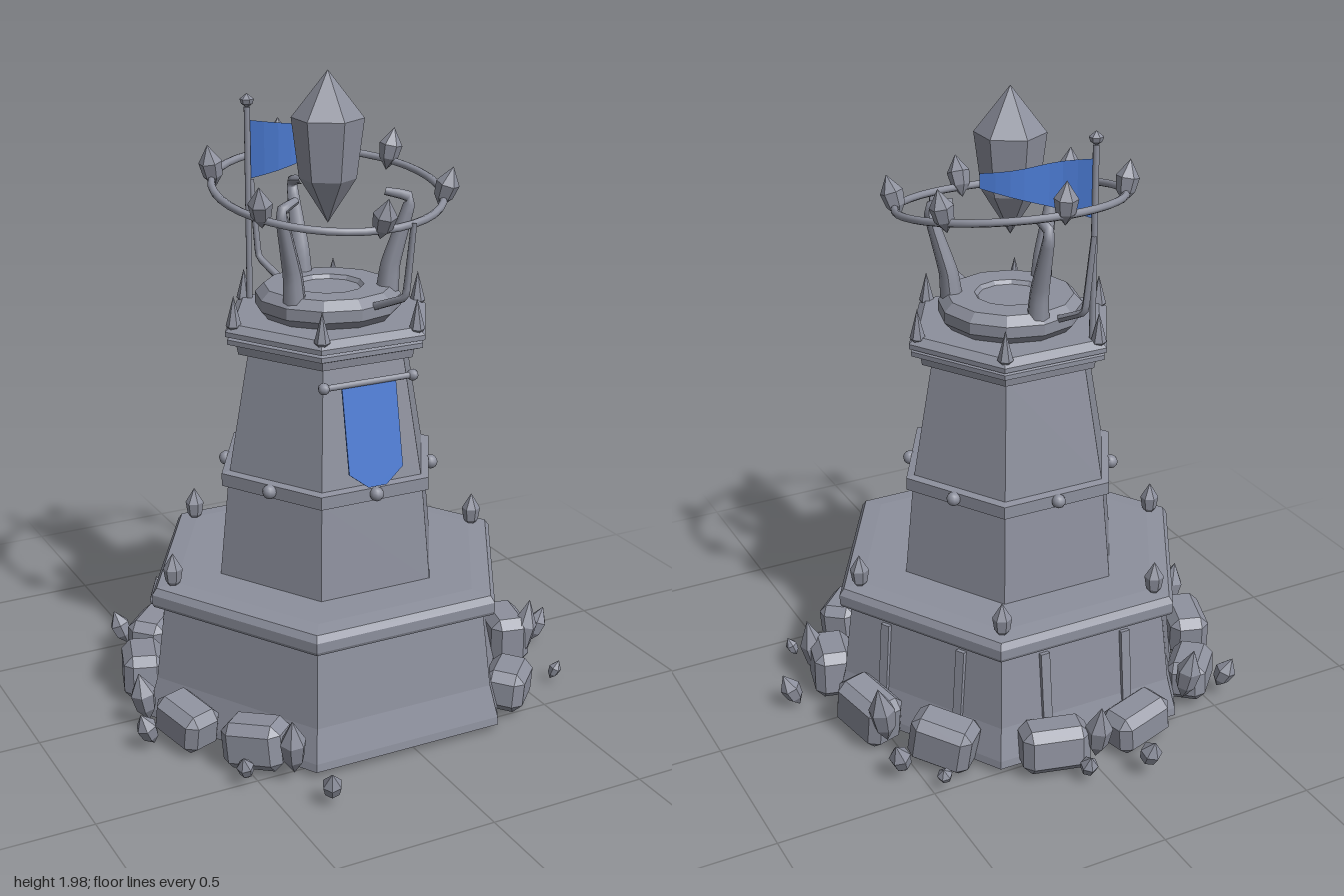
import * as THREE from 'three';
import { ConvexGeometry } from 'three/addons/geometries/ConvexGeometry.js';

export function createModel() {
  const stone = new THREE.MeshStandardMaterial({ color: 0x8d909d });
  const cloth = new THREE.MeshStandardMaterial({ color: 0x4a7ad2, side: THREE.DoubleSide });
  stone.name = 'grey stone';
  cloth.name = 'blue cloth';

  const model = new THREE.Group();
  model.name = 'crystalTower';
  const tower = new THREE.Group();
  tower.name = 'tower';
  tower.position.set(-0.03, 0, 0.03);
  model.add(tower);

  // Faceted normals
  const flat = (g) => {
    const f = g.index ? g.toNonIndexed() : g;
    f.computeVertexNormals();
    return f;
  };
  const add = (parent, name, geo, mat = stone) => {
    const m = new THREE.Mesh(geo, mat);
    m.name = name;
    parent.add(m);
    return m;
  };
  const turned = (profile, sides, phase = 0) =>
    flat(new THREE.LatheGeometry(profile.map(([r, y]) => new THREE.Vector2(r, y)), sides, phase));
  const hex = (name, profile) => add(tower, name, turned(profile, 6, Math.PI / 6));
  // Tube whose radius runs from r0 to r1
  const taperedTube = (pts, r0, r1, sides = 8, steps = 12) => {
    const curve = new THREE.CatmullRomCurve3(pts.map((p) => new THREE.Vector3(...p)), false, 'catmullrom', 0.2);
    const g = new THREE.TubeGeometry(curve, steps, 1, sides);
    const pos = g.attributes.position, v = new THREE.Vector3();
    for (let i = 0; i < pos.count; i++) {
      const t = Math.floor(i / (sides + 1)) / steps;
      const c = curve.getPointAt(t);
      v.fromBufferAttribute(pos, i).sub(c).multiplyScalar(r0 + (r1 - r0) * t).add(c);
      pos.setXYZ(i, v.x, v.y, v.z);
    }
    g.computeVertexNormals();
    return g;
  };
  // Six-sided crystal centred on its middle
  const crystalGeo = (len, r) => turned(
    [[0, -len / 2], [r * 0.8, -len * 0.22], [r, len * 0.1], [0, len / 2]], 6);

  // Hollow hexagonal base, platform and tapering tower
  hex('base', [[0, 0.405], [0.55, 0.405], [0.58, 0.2], [0.612, 0.045], [0.625, 0.045],
    [0.622, 0.07], [0.592, 0.17], [0.56, 0.41]]);
  hex('platform', [[0.54, 0.41], [0.595, 0.41], [0.6, 0.42], [0.6, 0.45], [0.585, 0.47], [0.52, 0.475], [0, 0.475]]);
  hex('lowerBody', [[0.372, 0.47], [0.341, 0.77]]);
  hex('band', [[0.33, 0.765], [0.362, 0.765], [0.362, 0.805], [0.32, 0.812]]);
  hex('upperBody', [[0.335, 0.81], [0.268, 1.175]]);
  hex('cornice', [[0.25, 1.17], [0.3, 1.175], [0.305, 1.2], [0.335, 1.21], [0.335, 1.225], [0.325, 1.23],
    [0.342, 1.235], [0.342, 1.25], [0.315, 1.27], [0, 1.27]]);
  add(tower, 'crownDais', turned([[0.195, 1.265], [0.222, 1.295], [0.222, 1.33], [0.195, 1.357],
    [0.11, 1.357], [0.1, 1.345], [0, 1.345]], 12));

  for (let i = 0; i < 6; i++) {
    const a = i * Math.PI / 3;
    // Studs on the middle of each band face
    add(tower, 'bandStud', new THREE.SphereGeometry(0.022, 10, 8))
      .position.set(Math.sin(a) * 0.32, 0.787, Math.cos(a) * 0.32);
    // Spikes on the cornice corners
    const b = a + Math.PI / 6;
    add(tower, 'corniceSpike', turned([[0, 1.235], [0.024, 1.265], [0, 1.358]], 6))
      .position.set(Math.sin(b) * 0.313, 0, Math.cos(b) * 0.313);
  }
  // Crystals on the side and rear platform corners
  for (const deg of [90, 150, 210, 270]) {
    const a = THREE.MathUtils.degToRad(deg);
    add(tower, 'platformCrystal', crystalGeo(0.125, 0.03))
      .position.set(Math.sin(a) * 0.53, 0.512, Math.cos(a) * 0.53);
  }
  // Upright ribs on the rear base walls
  for (const deg of [120, 180, 240]) {
    const wall = new THREE.Group();
    wall.name = 'wallRibs';
    wall.rotation.y = THREE.MathUtils.degToRad(deg);
    tower.add(wall);
    for (const x of [-0.14, 0.14]) {
      const rib = add(wall, 'wallRib', flat(new THREE.BoxGeometry(0.03, 0.31, 0.02)));
      rib.position.set(x, 0.23, 0.508);
      rib.rotation.x = -0.1;
    }
  }

  // Floating main crystal
  add(tower, 'mainCrystal', turned([[0, 1.545], [0.086, 1.68], [0.109, 1.86], [0, 2]], 6));

  // Tilted ring with six crystals
  const ring = new THREE.Group();
  ring.name = 'ring';
  ring.position.y = 1.65;
  ring.rotation.x = 0.16;
  tower.add(ring);
  add(ring, 'ringHoop', new THREE.TorusGeometry(0.346, 0.012, 8, 40).rotateX(Math.PI / 2));
  for (let i = 0; i < 6; i++) {
    const holder = new THREE.Group();
    holder.name = 'ringCrystalHolder';
    holder.rotation.y = i * Math.PI / 3;
    ring.add(holder);
    const c = add(holder, 'ringCrystal', crystalGeo(0.135, 0.036));
    c.position.set(0, 0.035, 0.35);
    c.rotation.x = 0.22;
  }

  // Three claws curving up around the crystal
  for (let i = 0; i < 3; i++) {
    const claw = add(tower, 'claw', taperedTube([[0, 1.32, 0.178], [0, 1.42, 0.188], [0, 1.53, 0.22],
      [0, 1.625, 0.245], [0, 1.643, 0.17]], 0.036, 0.012, 8, 16));
    claw.rotation.y = Math.PI + i * Math.PI * 2 / 3;
  }
  // Bent struts at front and back
  const strut = (...pts) => add(model, 'strut', taperedTube(pts, 0.013, 0.009, 6, 20));
  strut([0.02, 1.325, 0.22], [0.06, 1.375, 0.335], [0.066, 1.4, 0.343], [0.075, 1.605, 0.365]);
  strut([-0.09, 1.325, -0.16], [-0.117, 1.375, -0.26], [-0.122, 1.4, -0.272], [-0.13, 1.625, -0.298]);

  // Flagpole, finial and tapering pennant
  add(model, 'flagPole', new THREE.CylinderGeometry(0.01, 0.01, 0.62, 8)).position.set(-0.178, 1.555, -0.217);
  add(model, 'flagFinial', crystalGeo(0.045, 0.022)).position.set(-0.178, 1.885, -0.217);
  const pennant = new THREE.PlaneGeometry(1, 1, 8, 1);
  const pp = pennant.attributes.position;
  for (let i = 0; i < pp.count; i++) {
    const t = pp.getX(i) + 0.5;
    const y = pp.getY(i) > 0 ? 1.825 - 0.03 * t : 1.645 + 0.105 * t;
    pp.setXYZ(i, -0.172 + 0.312 * t, y, -0.217 + 0.11 * t + 0.015 * Math.sin(t * Math.PI * 2));
  }
  add(model, 'pennant', flat(pennant), cloth);

  // Hanging banner and its rod
  const shape = new THREE.Shape();
  [[-0.09, 0], [-0.09, -0.265], [-0.03, -0.312], [0.03, -0.312], [0.09, -0.265], [0.09, 0]]
    .forEach(([x, y], i) => (i ? shape.lineTo(x, y) : shape.moveTo(x, y)));
  const banner = add(model, 'banner',
    new THREE.ExtrudeGeometry(shape, { depth: 0.005, bevelEnabled: false }), cloth);
  banner.position.set(-0.03, 1.12, 0.292);
  banner.rotation.x = -0.19;
  add(model, 'bannerRod', new THREE.CylinderGeometry(0.01, 0.01, 0.29, 8).rotateZ(Math.PI / 2))
    .position.set(-0.03, 1.122, 0.295);
  for (const x of [-0.178, 0.118]) {
    add(model, 'rodKnob', new THREE.SphereGeometry(0.018, 8, 6)).position.set(x, 1.122, 0.295);
  }

  // Chamfered boulders lying around the base: x, z, width
  const boulder = (w, h, d, c) => {
    const pts = [];
    for (const x of [-1, 1]) for (const y of [-1, 1]) for (const z of [-1, 1]) {
      const X = x * w / 2, Y = y * h / 2, Z = z * d / 2;
      pts.push(new THREE.Vector3(X, Y - y * c, Z - z * c),
        new THREE.Vector3(X - x * c, Y, Z - z * c), new THREE.Vector3(X - x * c, Y - y * c, Z));
    }
    return new ConvexGeometry(pts);
  };
  const boulders = [[-0.17, -0.55, 0.21], [0.12, -0.55, 0.21], [0.41, -0.38, 0.2], [-0.47, -0.39, 0.19],
    [-0.6, -0.15, 0.2], [0.55, -0.13, 0.21], [-0.6, 0.21, 0.19], [-0.47, 0.43, 0.19],
    [0.555, 0.165, 0.19], [0.39, 0.45, 0.18]];
  boulders.forEach(([x, z, w], i) => {
    const b = add(model, 'boulder', boulder(w, 0.13 + 0.015 * (i % 3), 0.13, 0.028));
    b.position.set(x, 0.105 + 0.006 * (i % 3), z);
    b.rotation.set(0.1 * Math.sin(i * 2.3), Math.atan2(x + 0.03, z - 0.03), 0.1 * Math.cos(i * 1.7));
  });

  // Shards around the base: x, z, middle height, length, radius
  const shards = [[-0.405, -0.48, 0.16, 0.19, 0.04], [0.005, -0.62, 0.16, 0.2, 0.042],
    [0.06, -0.66, 0.08, 0.09, 0.028], [-0.12, -0.72, 0.105, 0.11, 0.034], [-0.56, -0.46, 0.11, 0.12, 0.034],
    [-0.68, 0.06, 0.13, 0.17, 0.04], [-0.72, 0.19, 0.095, 0.12, 0.033], [-0.54, 0.505, 0.08, 0.09, 0.026],
    [-0.41, 0.555, 0.14, 0.19, 0.04], [-0.365, 0.715, 0.085, 0.11, 0.03], [0.555, -0.25, 0.17, 0.21, 0.042],
    [0.56, -0.39, 0.1, 0.13, 0.034], [0.46, -0.49, 0.07, 0.06, 0.024], [0.715, 0.12, 0.09, 0.13, 0.033],
    [0.61, 0.39, 0.07, 0.07, 0.02], [0.59, 0.23, 0.145, 0.22, 0.042]];
  for (const [x, z, y, len, r] of shards) {
    const s = add(model, 'shard', crystalGeo(len, r));
    s.position.set(x, y, z);
    s.rotation.order = 'YXZ';
    s.rotation.set(len < 0.15 ? 0.4 : 0.18, Math.atan2(x + 0.03, z - 0.03), 0);
  }
  return model;
}
